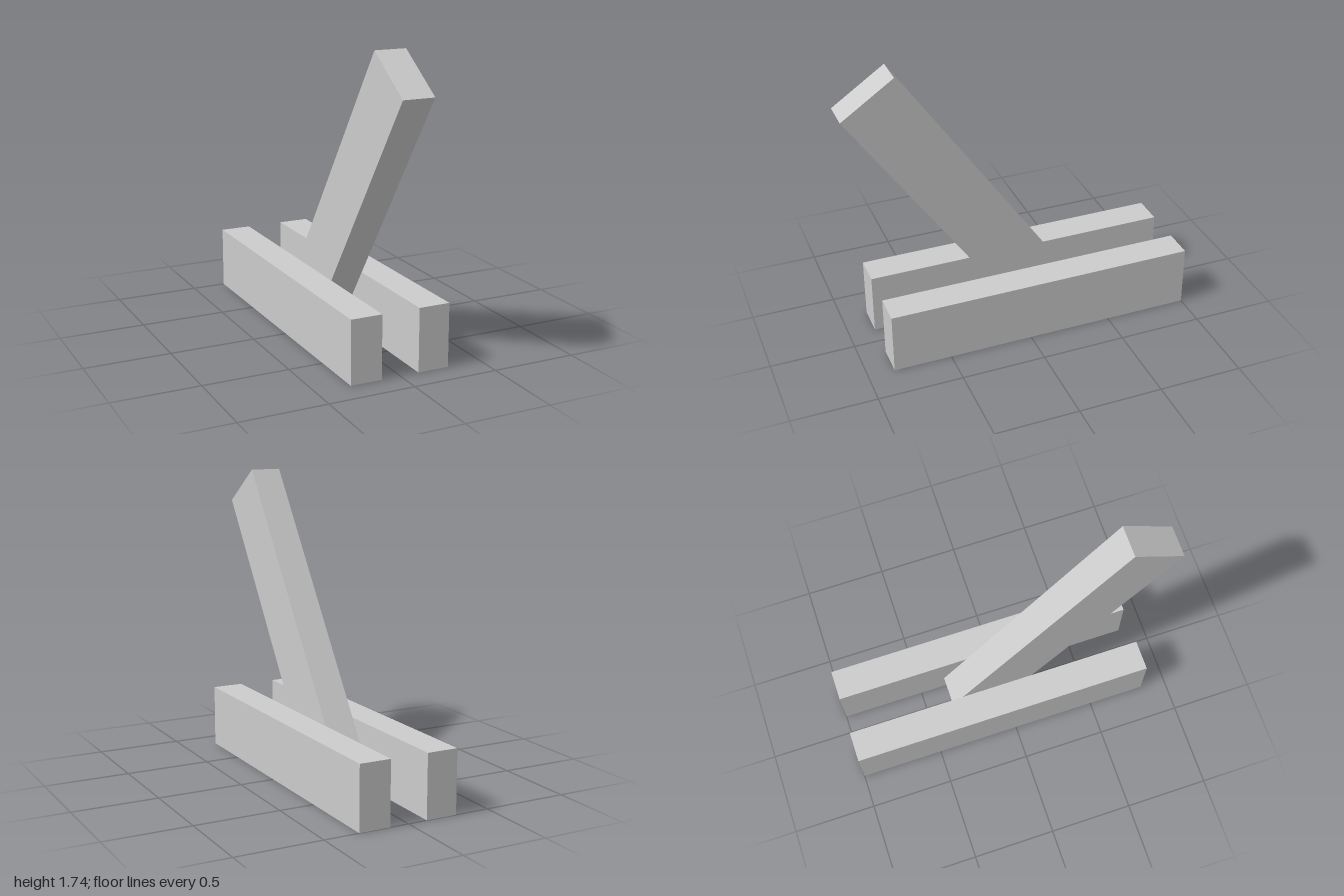
import * as THREE from 'three';

export function createModel() {
  const model = new THREE.Group();
  const material = new THREE.MeshStandardMaterial({ color: 0xcccccc, flatShading: true });

  // All three timbers share one cross-section and length
  const width = 0.184, depth = 0.368, length = 1.844;

  function addTimber(name, size, position, tilt = 0) {
    const mesh = new THREE.Mesh(new THREE.BoxGeometry(...size), material);
    mesh.name = name;
    mesh.position.set(...position);
    mesh.rotation.x = tilt;
    model.add(mesh);
  }

  // Two parallel rails lying on the ground
  addTimber('leftRail', [width, depth, length], [0.203, depth / 2, -0.078]);
  addTimber('rightRail', [width, depth, length], [-0.205, depth / 2, -0.078]);

  // Post leaning forward between the rails
  addTimber('leaningPost', [width, length, depth], [-0.004, 0.872, 0.327], 0.601);

  return model;
}
